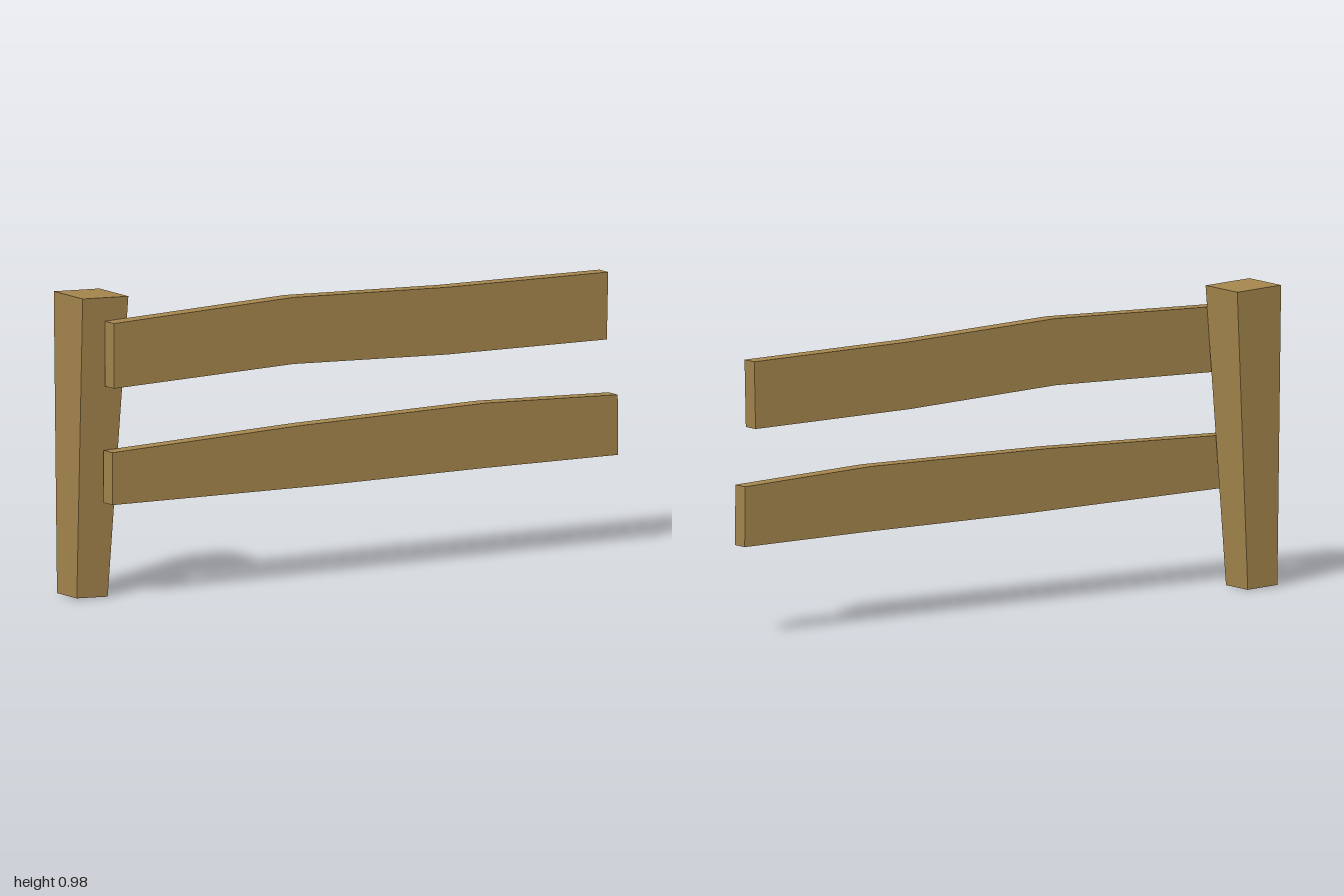
import * as THREE from 'three';

export function createModel() {
  const model = new THREE.Group();
  model.name = 'brokenFenceSection';
  const wood = new THREE.MeshStandardMaterial({ color: 0xa5864d });
  wood.name = 'weatheredWood';

  const add = (name, geometry) => {
    const mesh = new THREE.Mesh(geometry, wood);
    mesh.name = name;
    model.add(mesh);
  };

  // Tapered post, wider at the top, with slightly slanted ends
  const post = new THREE.BoxGeometry(1, 1, 1).toNonIndexed();
  const p = post.attributes.position;
  for (let i = 0; i < p.count; i++) {
    const top = p.getY(i) > 0, right = p.getX(i) > 0, front = p.getZ(i) > 0;
    const x = top ? (right ? -0.822 : -0.995) : (right ? -0.883 : -1);
    const y = top ? (right ? 0.972 : 0.979) : (right ? 0 : 0.005);
    const z = top ? (front ? 0.061 : -0.111) : (front ? 0.034 : -0.084);
    p.setXYZ(i, x, y, z);
  }
  post.computeVertexNormals();
  add('post', post);

  // Bent planks: outline in x and y, extruded across the front of the post
  const rail = (name, outline) => {
    const shape = new THREE.Shape(outline.map(([x, y]) => new THREE.Vector2(x, y)));
    const geometry = new THREE.ExtrudeGeometry(shape, { depth: 0.053, bevelEnabled: false });
    geometry.translate(0, 0, 0.06);
    add(name, geometry);
  };
  rail('upperRail', [
    [-0.91, 0.688], [-0.23, 0.705], [0.35, 0.682], [0.957, 0.675],
    [0.962, 0.893], [0.35, 0.9], [-0.23, 0.921], [-0.91, 0.899],
  ]);
  rail('lowerRail', [
    [-0.915, 0.311], [-0.1, 0.301], [0.5, 0.301], [1, 0.297],
    [0.998, 0.492], [0.5, 0.511], [-0.2, 0.503], [-0.915, 0.481],
  ]);

  return model;
}
